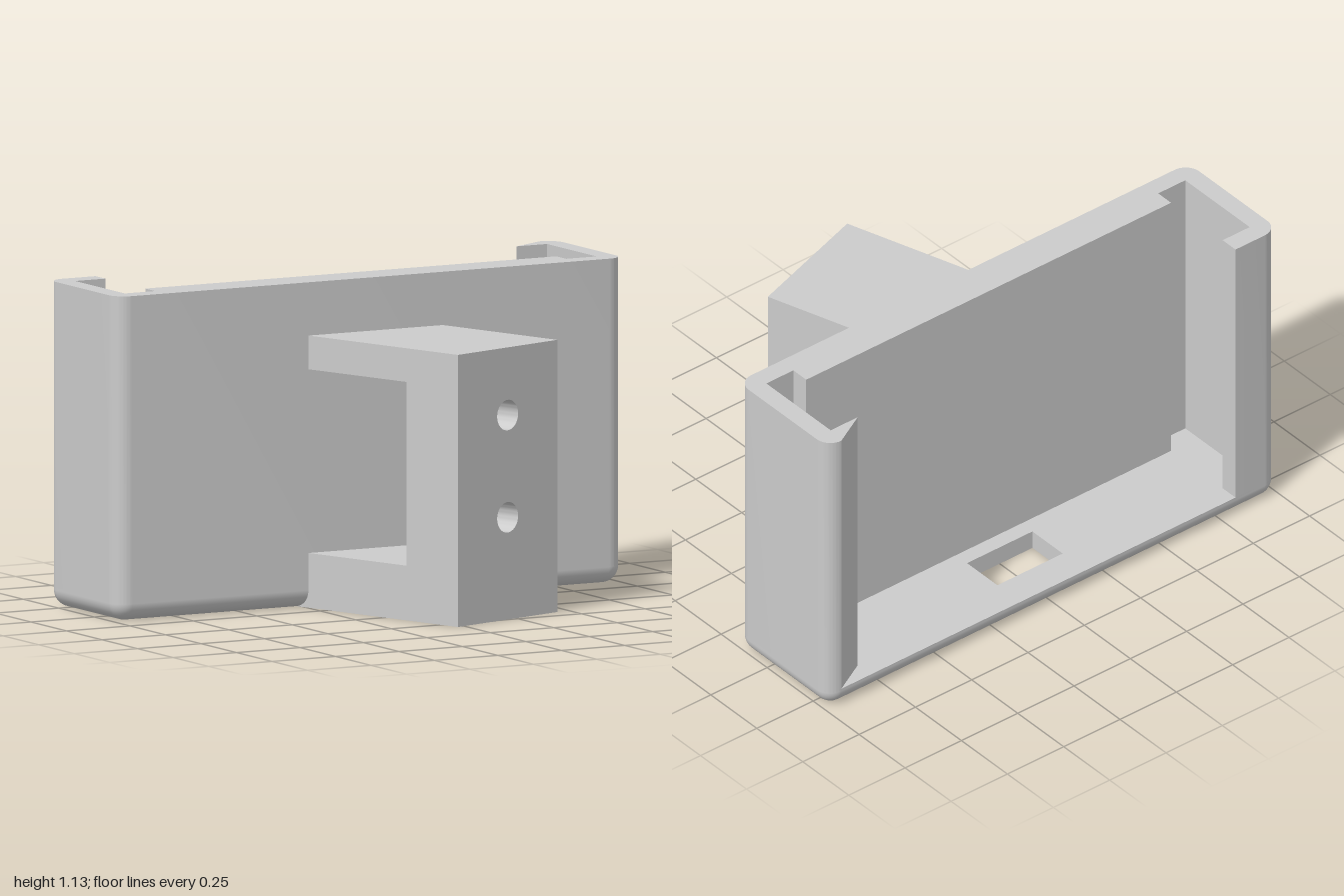
import * as THREE from 'three';
import { toCreasedNormals } from 'three/addons/utils/BufferGeometryUtils.js';

const material = new THREE.MeshStandardMaterial({ color: 0xcccccc });

// Tray extents in plan, edge radius and heights
const X = 1, BACK = -0.58, FRONT = -0.09, R = 0.06, FLOOR = 0.07, TOP = 1.13;
const CX = X - R, CB = BACK + R, CF = FRONT - R; // corner centres

function addMesh(group, name, geometry) {
  const mesh = new THREE.Mesh(geometry, material);
  mesh.name = name;
  group.add(mesh);
  return mesh;
}

// Raise a plan shape drawn in (x, z) from y0 to y1
function prism(shape, y0, y1) {
  const geo = new THREE.ExtrudeGeometry(shape, { depth: y1 - y0, bevelEnabled: false, curveSegments: 8 });
  geo.rotateX(Math.PI / 2).translate(0, y1, 0);
  return toCreasedNormals(geo, 0.5);
}

const polygon = (points) => new THREE.Shape(points.map(([x, z]) => new THREE.Vector2(x, z)));

// Outer rounded outline, starting and ending on the back edge
function outline(startX) {
  const s = new THREE.Shape();
  const q = Math.PI / 2;
  s.moveTo(startX, BACK);
  s.absarc(CX, CB, R, -q, 0, false);
  s.absarc(CX, CF, R, 0, q, false);
  s.absarc(-CX, CF, R, q, 2 * q, false);
  s.absarc(-CX, CB, R, 2 * q, 3 * q, false);
  return s;
}

// Cable opening through the floor
function withSlot(shape) {
  shape.holes.push(polygon([[-0.145, -0.455], [-0.145, -0.29], [0.145, -0.29], [0.145, -0.455]]));
  return shape;
}

// Rounded skin around the bottom edge: stacked rings growing by a quarter circle
function bottomFillet() {
  const n = 8, pos = [], nor = [], index = [];
  const corners = [[CX, CF], [-CX, CF], [-CX, CB], [CX, CB]];
  const ring = corners.length * (n + 1);
  for (let i = 0; i <= n; i++) {
    const phi = (i / n) * Math.PI / 2, s = Math.sin(phi), c = Math.cos(phi);
    corners.forEach(([cx, cz], k) => {
      for (let j = 0; j <= n; j++) {
        const a = (k + j / n) * Math.PI / 2;
        const nx = Math.cos(a) * s, nz = Math.sin(a) * s;
        pos.push(cx + R * nx, R - R * c, cz + R * nz);
        nor.push(nx, -c, nz);
      }
    });
  }
  for (let i = 0; i < n; i++) {
    for (let j = 0; j < ring; j++) {
      const a = i * ring + j, b = i * ring + (j + 1) % ring;
      index.push(a, a + ring, b, b, a + ring, b + ring);
    }
  }
  const geo = new THREE.BufferGeometry();
  geo.setAttribute('position', new THREE.Float32BufferAttribute(pos, 3));
  geo.setAttribute('normal', new THREE.Float32BufferAttribute(nor, 3));
  geo.setIndex(index);
  return geo;
}

function createTray() {
  const tray = new THREE.Group();
  tray.name = 'tray';

  // Walls: open at the back, side channels, thick front panel
  const walls = outline(0.81);
  [[-0.81, BACK], [-0.81, -0.51], [-0.93, -0.51], [-0.93, -0.16], [-0.81, -0.16], [-0.81, -0.23],
    [0.81, -0.23], [0.81, -0.16], [0.93, -0.16], [0.93, -0.51], [0.81, -0.51]]
    .forEach(([x, z]) => walls.lineTo(x, z));
  addMesh(tray, 'walls', prism(walls, R, TOP));

  // Floor with slot and rounded underside
  addMesh(tray, 'floor', prism(withSlot(outline(0)), R, FLOOR));
  const under = polygon([[-CX, CB], [CX, CB], [CX, CF], [-CX, CF]]);
  addMesh(tray, 'underside', prism(withSlot(under), 0, R));
  addMesh(tray, 'bottomEdge', bottomFillet());
  return tray;
}

function createBracket() {
  const bracket = new THREE.Group();
  bracket.name = 'bracket';
  const height = 0.945, half = 0.252, thick = 0.24, angle = Math.PI / 10;

  // Angled mounting plate with two screw holes
  const plate = polygon([[-half, 0], [half, 0], [half, height], [-half, height]]);
  for (const y of [0.355, 0.71]) {
    plate.holes.push(new THREE.Path().absarc(0, y, 0.053, 0, Math.PI * 2, true));
  }
  const geo = new THREE.ExtrudeGeometry(plate, { depth: thick, bevelEnabled: false, curveSegments: 24 });
  geo.translate(0, 0, -thick);
  const mesh = addMesh(bracket, 'mountingPlate', toCreasedNormals(geo, 0.5));
  mesh.position.set(0.21, 0, 0.4975);
  mesh.rotation.y = angle;

  // Upper and lower arms joining the plate to the tray
  const sin = Math.sin(angle), cos = Math.cos(angle);
  const plan = [];
  for (const side of [-half, half]) {
    const x = 0.21 + side * cos - thick * sin;
    const z = 0.4975 - side * sin - thick * cos;
    const end = [x - (z - CF) * Math.tan(angle), CF];
    if (side < 0) plan.push(end, [x, z]);
    else plan.push([x, z], end);
  }
  addMesh(bracket, 'lowerArm', prism(polygon(plan), 0, 0.19));
  addMesh(bracket, 'upperArm', prism(polygon(plan), 0.828, height));
  return bracket;
}

export function createModel() {
  const model = new THREE.Group();
  model.name = 'wallHolder';
  model.add(createTray(), createBracket());
  return model;
}
